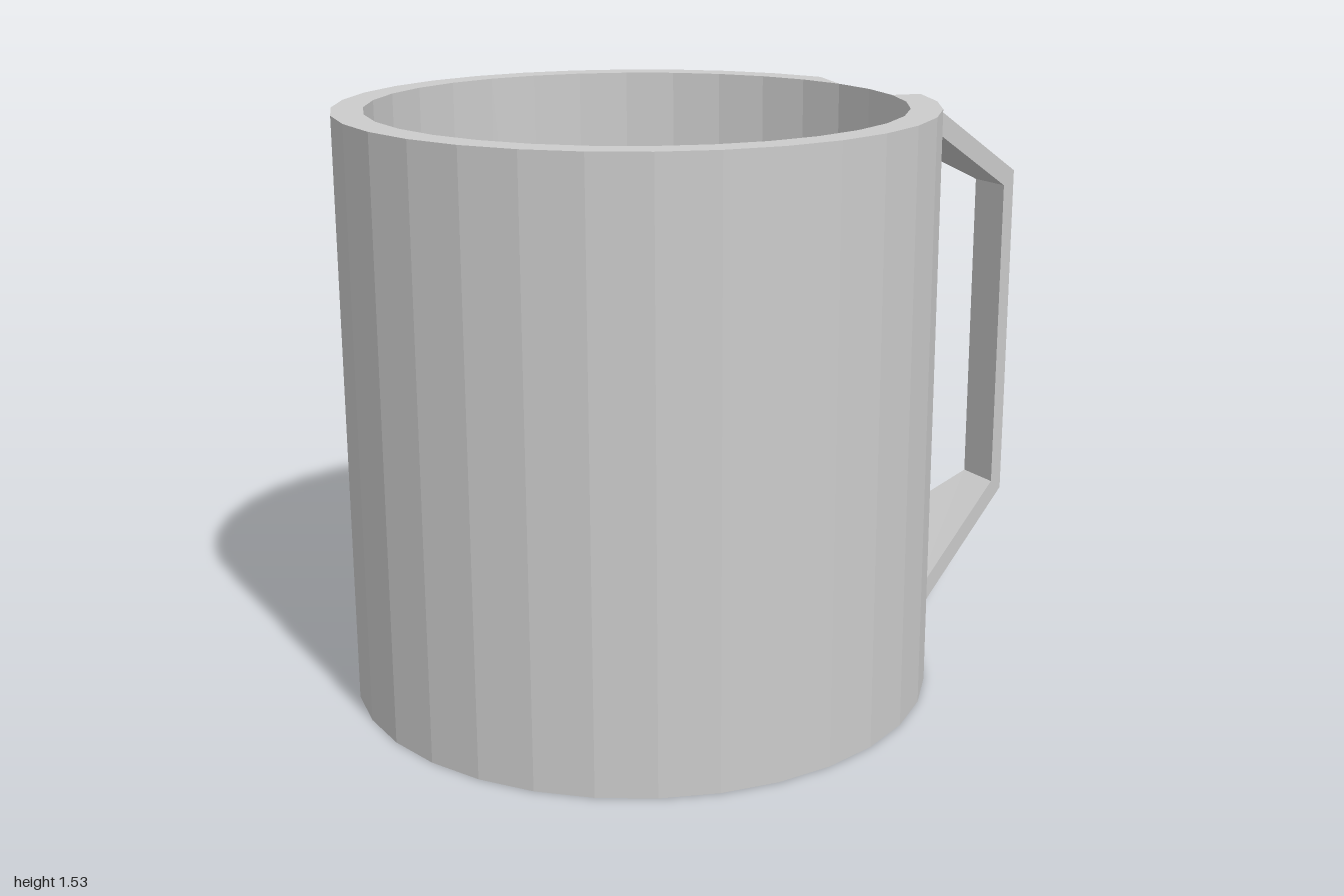
import * as THREE from 'three';

const SEG = 32, R = 0.765, INNER = 0.685, H = 1.53, CZ = 0.235, FLOOR = 0.08;
const RIM_DROP = 0.04; // the rim slopes down into the handle

// point on the outer wall, k steps from the back towards +x
const wall = (k, y) => {
  const a = (k / SEG) * Math.PI * 2;
  return new THREE.Vector3(R * Math.sin(a), y, CZ - R * Math.cos(a));
};

function facetedMesh(name, geometry) {
  const mesh = new THREE.Mesh(geometry, new THREE.MeshStandardMaterial({ color: 0xcccccc, flatShading: true }));
  mesh.name = name;
  return mesh;
}

function cupGeometry() {
  const profile = [[0, 0], [R, 0], [R, H], [INNER, H], [INNER, FLOOR], [0, FLOOR]]
    .map(([x, y]) => new THREE.Vector2(x, y));
  const geo = new THREE.LatheGeometry(profile, SEG);
  // lower the two rim corners that merge into the handle
  for (const k of [1, 2]) {
    geo.attributes.position.setY((SEG / 2 - k) * profile.length + 2, H - RIM_DROP);
  }
  return geo.translate(0, 0, CZ);
}

function handleGeometry() {
  const out = [];
  const face = (...p) => {
    for (let i = 1; i < p.length - 1; i++) {
      for (const v of [p[0], p[i], p[i + 1]]) out.push(v.x, v.y, v.z);
    }
  };
  // side outline: cup bottom, end bottom, end top, cup top
  const side = (k, x, z) => [
    wall(k, 0), new THREE.Vector3(x, 0.28, z), new THREE.Vector3(x, 1.25, z), wall(k, H),
  ];
  // opening inset inside a side outline
  const opening = (s) => [[0, 0.09, 0.065], [0, 0.895, 0.065], [1, 0.895, -0.065], [1, 0.09, -0.065]]
    .map(([top, t, dy]) => {
      const p = top ? s[3].clone().lerp(s[2], t) : s[0].clone().lerp(s[1], t);
      p.y += dy;
      return p;
    });
  const a = side(0, 0.29, -1), b = side(3, 0.375, -0.97);
  const ha = opening(a), hb = opening(b);

  // side frames and the walls of the opening
  for (let i = 0; i < 4; i++) {
    const j = (i + 1) % 4;
    face(b[i], b[j], hb[j], hb[i]);
    face(a[j], a[i], ha[i], ha[j]);
    face(hb[i], hb[j], ha[j], ha[i]);
  }
  // end of the grip
  face(b[1], a[1], a[2], b[2]);
  // sloping top and underside, fanned from the cup wall
  const top = [0, 1, 2, 3].map((k) => wall(k, k === 1 || k === 2 ? H - RIM_DROP : H));
  const low = [0, 1, 2, 3].map((k) => wall(k, 0));
  face(a[2], top[0], top[1], top[2], b[2]);
  face(top[2], top[3], b[2]);
  face(a[1], b[1], low[2], low[1], low[0]);
  face(low[3], low[2], b[1]);

  const geo = new THREE.BufferGeometry();
  geo.setAttribute('position', new THREE.Float32BufferAttribute(out, 3));
  geo.computeVertexNormals();
  return geo;
}

export function createModel() {
  const group = new THREE.Group();
  group.name = 'mug';
  group.add(facetedMesh('cup', cupGeometry()), facetedMesh('handle', handleGeometry()));
  return group;
}
